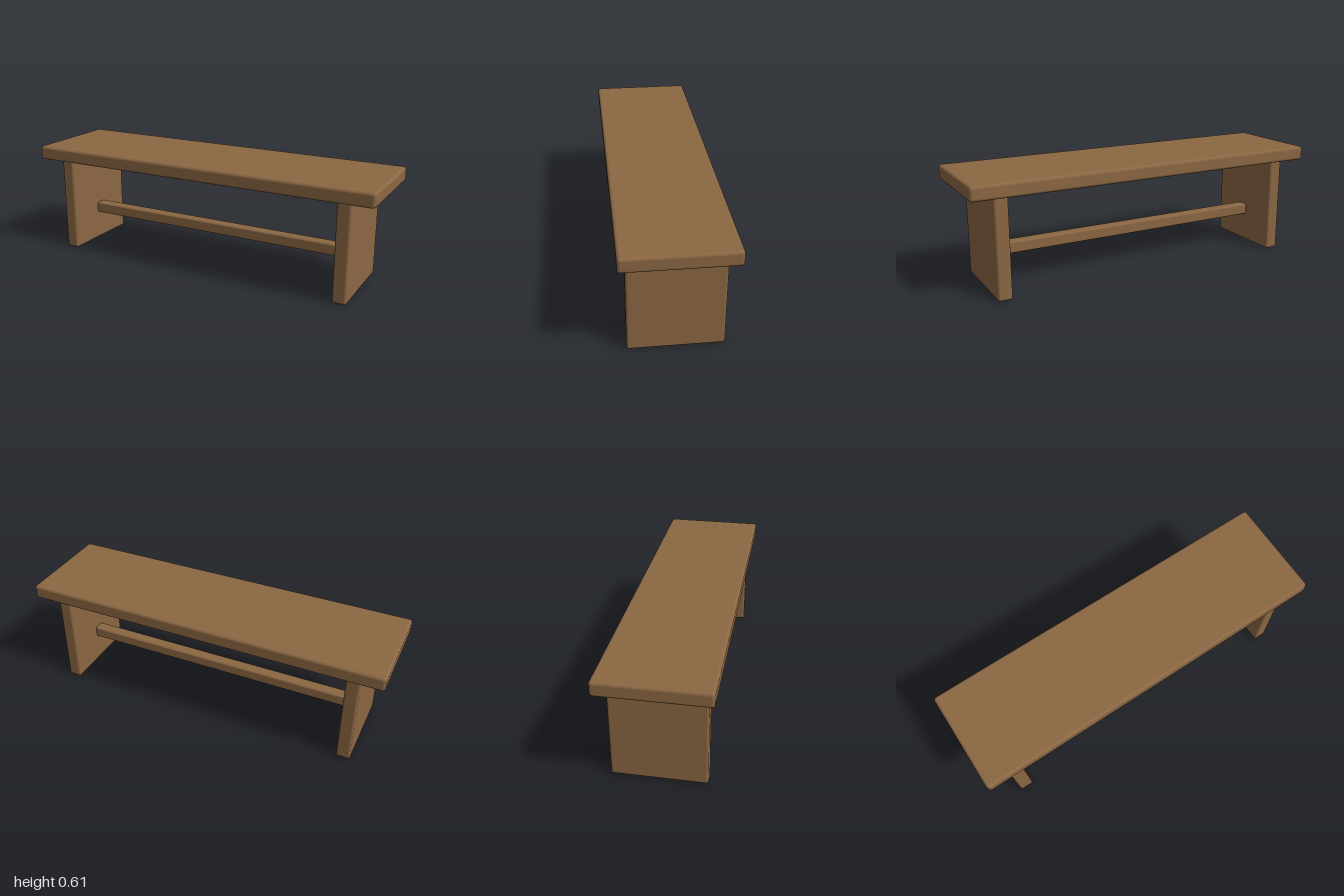
import * as THREE from 'three';
import { RoundedBoxGeometry } from 'three/addons/geometries/RoundedBoxGeometry.js';

export function createModel() {
  const bench = new THREE.Group();
  bench.name = 'bench';

  const wood = new THREE.MeshStandardMaterial({ color: 0x8b6743 });
  wood.name = 'brown wood';

  // Adds a plank with softened edges, placed by its centre
  const plank = (name, [w, h, d], radius, [x, y, z]) => {
    const mesh = new THREE.Mesh(new RoundedBoxGeometry(w, h, d, 4, radius), wood);
    mesh.name = name;
    mesh.position.set(x, y, z);
    bench.add(mesh);
  };

  const legHeight = 0.535;
  const seatThickness = 0.078;

  // Seat board
  plank('seat', [2, seatThickness, 0.56], 0.016, [0, legHeight + seatThickness / 2, 0]);

  // Slab legs, mirrored
  for (const [side, name] of [[1, 'leftLeg'], [-1, 'rightLeg']]) {
    plank(name, [0.076, legHeight, 0.48], 0.013, [side * 0.838, legHeight / 2, 0]);
  }

  // Stretcher between the legs
  plank('stretcher', [1.602, 0.064, 0.064], 0.01, [0, 0.198, 0]);

  return bench;
}
